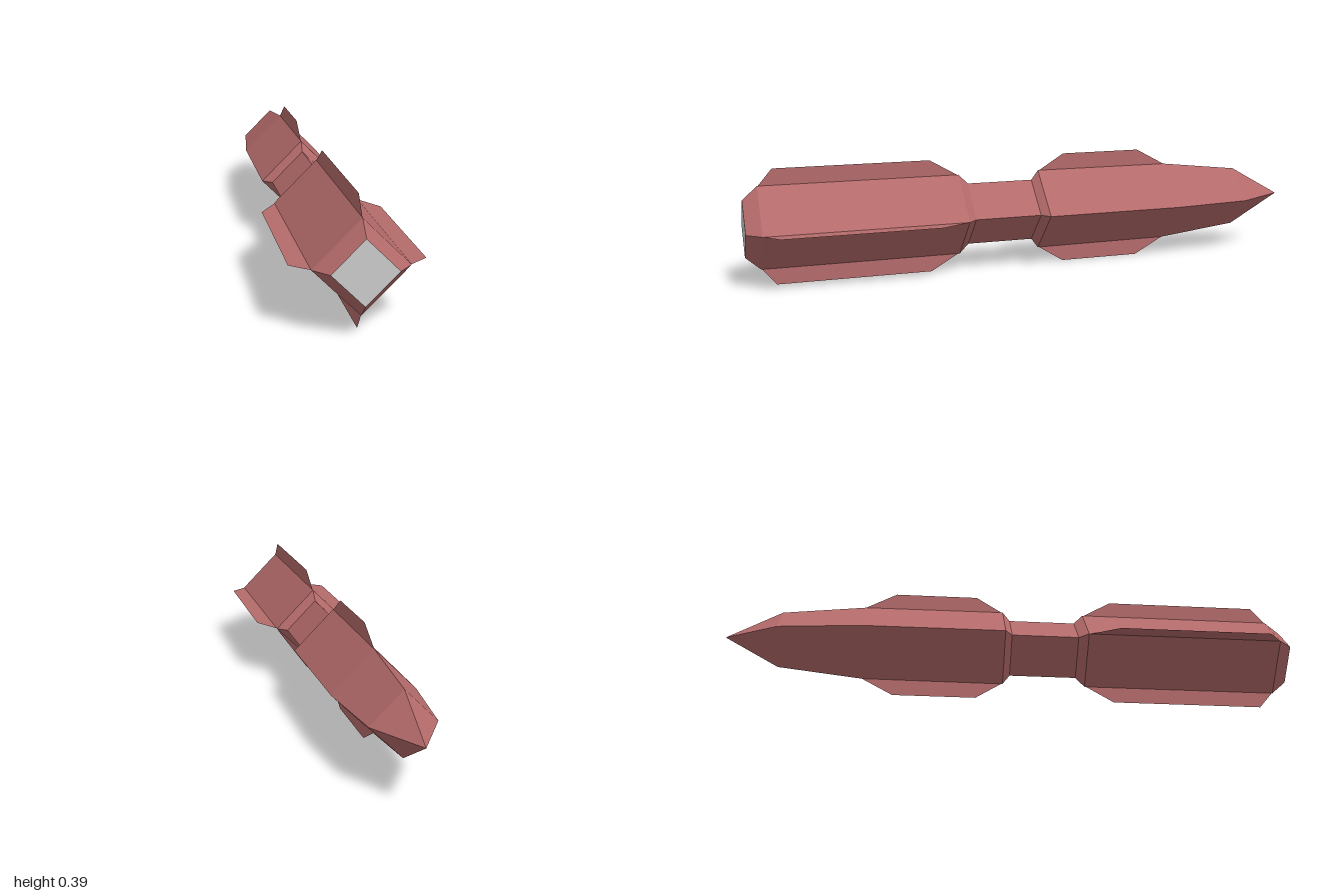
import * as THREE from 'three';

const CENTRE_Y = 0.197;

export function createModel() {
  const group = new THREE.Group();
  const red = new THREE.MeshStandardMaterial({ color: 0xb46a6a, flatShading: true });
  const finRed = new THREE.MeshStandardMaterial({ color: 0xb46a6a, flatShading: true, side: THREE.DoubleSide });
  const grey = new THREE.MeshStandardMaterial({ color: 0xcccccc, flatShading: true });

  const add = (name, geometry, material) => {
    const mesh = new THREE.Mesh(geometry, material);
    mesh.name = name;
    mesh.position.y = CENTRE_Y;
    group.add(mesh);
    return mesh;
  };

  // Four-sided body: [radius, z] from the pointed tip to the blunt end
  const profile = [
    [0, -1], [0.106, -0.81], [0.139, -0.52], [0.141, -0.025], [0.108, 0],
    [0.108, 0.235], [0.141, 0.267], [0.141, 0.95], [0.097, 1],
  ].map(([r, z]) => new THREE.Vector2(r, z));
  add('body', new THREE.LatheGeometry(profile, 4).rotateX(Math.PI / 2), red);

  // Flat grey plate closing the blunt end
  add('endPlate', new THREE.CircleGeometry(0.097, 4).translate(0, 0, 1), grey);

  // Thin fin along a body edge, bevelled at both ends, turned about the z axis
  const addFin = (name, outline, turn) => {
    const shape = new THREE.Shape(outline.map(([r, z]) => new THREE.Vector2(r, z)));
    add(name, new THREE.ShapeGeometry(shape).rotateX(Math.PI / 2).rotateZ(turn), finRed);
  };
  const longFin = [[0.138, 0.95], [0.197, 0.9], [0.197, 0.37], [0.138, 0.267]];
  const shortFin = [[0.138, -0.025], [0.197, -0.12], [0.197, -0.41], [0.138, -0.52]];

  // Four long fins on the thick section, two upright short ones behind the tip
  for (let i = 0; i < 4; i++) addFin(`longFin${i + 1}`, longFin, (i * Math.PI) / 2);
  addFin('upperShortFin', shortFin, Math.PI / 2);
  addFin('lowerShortFin', shortFin, -Math.PI / 2);

  return group;
}
